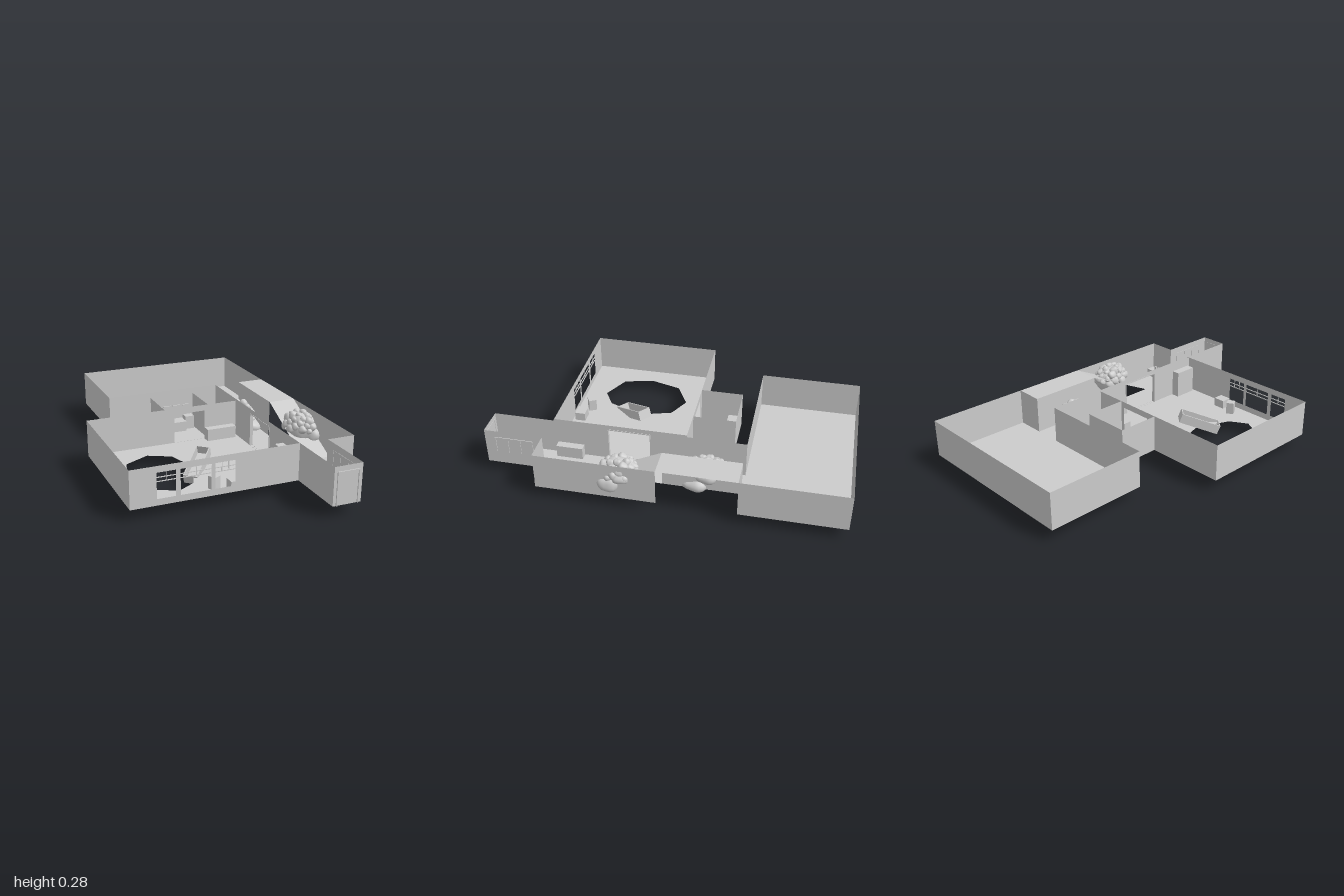
import * as THREE from 'three';

const LOW = 0.05, TOP = 0.26;
const mat = new THREE.MeshStandardMaterial({ color: 0xcccccc, side: THREE.DoubleSide });

export function createModel() {
  const model = new THREE.Group();

  const add = (name, geometry, x = 0, y = 0, z = 0, parent = model) => {
    const mesh = new THREE.Mesh(geometry, mat);
    mesh.name = name;
    mesh.position.set(x, y, z);
    parent.add(mesh);
    return mesh;
  };
  const rectPath = (Type, x0, y0, x1, y1) =>
    new Type([[x0, y0], [x1, y0], [x1, y1], [x0, y1]].map(p => new THREE.Vector2(...p)));

  // Thin wall between two plan points; openings are [start, bottom, end, top] along the wall
  const wall = (name, x0, z0, x1, z1, openings = []) => {
    const shape = rectPath(THREE.Shape, 0, LOW, Math.hypot(x1 - x0, z1 - z0), TOP);
    for (const o of openings) shape.holes.push(rectPath(THREE.Path, ...o));
    const mesh = add(name, new THREE.ShapeGeometry(shape), x0, 0, z0);
    mesh.rotation.y = -Math.atan2(z1 - z0, x1 - x0);
    return mesh;
  };
  // Horizontal slab, optionally with a polygonal hole
  const floor = (name, x0, z0, x1, z1, y = LOW, hole) => {
    const shape = rectPath(THREE.Shape, x0, z0, x1, z1);
    if (hole) shape.holes.push(new THREE.Path(hole.map(p => new THREE.Vector2(...p))));
    const geo = new THREE.ShapeGeometry(shape).rotateX(Math.PI / 2);
    return add(name, geo, 0, y, 0);
  };
  // Box given by its limits
  const box = (name, x0, x1, y0, y1, z0, z1, parent) => add(name,
    new THREE.BoxGeometry(x1 - x0, y1 - y0, z1 - z0),
    (x0 + x1) / 2, (y0 + y1) / 2, (z0 + z1) / 2, parent);

  // Back hall
  floor('hallFloor', -0.41, -1, 0.605, -0.43);
  wall('hallBackWall', -0.41, -1, 0.605, -1);
  wall('hallRightWall', -0.41, -1, -0.41, -0.43);
  wall('hallLeftWall', 0.605, -1, 0.605, -0.43);
  wall('hallFrontWall', -0.41, -0.43, 0.285, -0.43);
  wall('hallStairWall', 0.445, -0.43, 0.605, -0.43);

  // Main room with a broken floor
  floor('roomFloor', -0.64, -0.1, 0.285, 0.65, LOW, [
    [-0.335, 0.025], [-0.21, 0.09], [-0.155, 0.27], [-0.235, 0.47],
    [-0.335, 0.53], [-0.49, 0.45], [-0.53, 0.275], [-0.48, 0.1]]);
  wall('roomRightWall', -0.64, -0.1, -0.64, 0.65);
  wall('roomBackWall', -0.64, -0.1, 0.27, -0.1, [[0.52, 0.051, 0.71, 0.225]]);
  wall('roomLeftWall', 0.27, -0.1, 0.27, 0.65, [[0.2, 0.051, 0.44, 0.24]]);
  const windows = [[-0.5, -0.4, 1], [-0.375, -0.21, 1], [-0.19, -0.08, 2]];
  wall('windowWall', -0.64, 0.65, 0.285, 0.65,
    windows.map(([a, b]) => [a + 0.64, 0.085, b + 0.64, 0.225]));
  for (const [a, b, bars] of windows) {
    for (const y of [0.178, 0.2]) box('windowBar', a, b, y - 0.002, y + 0.002, 0.648, 0.652);
    for (let i = 1; i <= bars; i++) {
      const x = a + (b - a) * i / (bars + 1);
      box('windowMullion', x - 0.0015, x + 0.0015, 0.178, 0.225, 0.648, 0.652);
    }
  }
  box('floorUnderside', -0.1, 0.21, 0.04, 0.049, 0.06, 0.48);

  // Small alcove behind the main room
  floor('alcoveFloor', -0.18, -0.34, 0.09, -0.1);
  wall('alcoveBackWall', -0.18, -0.34, 0.09, -0.34);
  wall('alcoveRightWall', -0.18, -0.34, -0.18, -0.1);
  wall('alcoveLeftWall', 0.09, -0.34, 0.09, -0.1);
  box('alcoveCounter', -0.175, 0.02, LOW, 0.11, -0.338, -0.262);
  box('alcoveCabinet', 0.025, 0.08, LOW, 0.13, -0.338, -0.29);
  for (let i = 0; i < 4; i++)
    box('alcoveShelf', -0.16 + i * 0.06, -0.115 + i * 0.06, 0.19, 0.196, -0.338, -0.33);

  // Corridor
  floor('corridorFloor', 0.285, -0.43, 0.445, 0.99);
  wall('corridorRightWall', 0.285, -0.43, 0.285, 0.99, [[0.53, 0.051, 0.77, 0.24]]);
  wall('corridorStairWall', 0.445, -0.43, 0.445, 0);
  wall('corridorLeftWall', 0.445, 0.66, 0.445, 0.99);
  wall('corridorFrontWall', 0.285, 0.99, 0.445, 0.99);
  // Door lining between room and corridor
  for (const z of [0.1, 0.34]) box('doorJamb', 0.268, 0.287, LOW, 0.24, z - 0.003, z + 0.003);
  box('doorLintel', 0.268, 0.287, 0.24, 0.246, 0.1, 0.34);
  // Entrance door frame and side panel strips
  for (const x of [0.305, 0.425]) box('entranceJamb', x - 0.003, x + 0.003, LOW, 0.23, 0.988, 0.996);
  box('entranceLintel', 0.302, 0.428, 0.226, 0.232, 0.988, 0.996);
  for (const z of [0.72, 0.79, 0.86, 0.93]) box('wallStrip', 0.443, 0.449, 0.12, 0.22, z - 0.003, z + 0.003);
  box('wallRail', 0.443, 0.449, 0.216, 0.222, 0.72, 0.93);

  // Stairwell: landing, ramp and lobby
  floor('upperLanding', 0.445, -0.43, 0.605, 0, TOP);
  const ramp = add('stairRamp', new THREE.PlaneGeometry(0.16, Math.hypot(0.43, TOP - LOW)),
    0.525, (LOW + TOP) / 2, 0.215);
  ramp.rotation.x = -Math.atan2(0.43, TOP - LOW);
  floor('lobbyFloor', 0.445, 0.43, 0.605, 0.66);
  wall('stairOuterWall', 0.605, 0, 0.605, 0.66);
  wall('lobbyFrontWall', 0.445, 0.66, 0.605, 0.66);
  box('lobbyBench', 0.45, 0.602, LOW, 0.095, 0.6, 0.663);
  for (const x of [0.52, 0.55]) box('benchItem', x - 0.006, x + 0.006, 0.095, 0.12, 0.62, 0.632);

  // Furniture
  box('tallCabinet', 0.22, 0.268, 0.045, 0.21, 0.5, 0.635);
  box('corridorCabinet', 0.287, 0.33, LOW, 0.12, 0.48, 0.63);
  box('backCabinet', 0.07, 0.25, LOW, 0.12, -0.098, -0.05);
  box('corridorShelf', 0.287, 0.305, LOW, 0.13, 0.82, 0.89);
  box('sideTable', -0.095, -0.025, LOW, 0.1, 0.575, 0.635);
  const stool = add('stool', new THREE.BoxGeometry(0.045, 0.07, 0.045), -0.16, 0.085, 0.57);
  stool.rotation.y = 0.5;

  // Open bookcase tipping into the floor hole
  const bookcase = new THREE.Group();
  bookcase.name = 'fallenBookcase';
  bookcase.position.set(-0.145, 0.075, 0.305);
  bookcase.rotation.set(0, 0.86, 0.36);
  model.add(bookcase);
  box('bookcaseBack', -0.12, 0.12, -0.028, -0.022, -0.04, 0.04, bookcase);
  for (const s of [-1, 1]) {
    add('bookcaseSide', new THREE.BoxGeometry(0.24, 0.055, 0.006), 0, 0, s * 0.037, bookcase);
    add('bookcaseEnd', new THREE.BoxGeometry(0.006, 0.055, 0.08), s * 0.117, 0, 0, bookcase);
  }

  // Rubble heaps: lumpy boulders with small stones spread over a dome
  let seed = 7;
  const rnd = () => (seed = (seed * 16807) % 2147483647) / 2147483647;
  const boulder = (x, y, z, rx, ry, rz, parent) => {
    const geo = new THREE.SphereGeometry(1, 20, 14);
    const p = geo.attributes.position, v = new THREE.Vector3(), k = rnd() * 6;
    for (let i = 0; i < p.count; i++) {
      v.fromBufferAttribute(p, i);
      v.multiplyScalar(1 + 0.09 * Math.sin(3 * v.x + k) * Math.cos(3 * v.y - k) + 0.06 * Math.sin(5 * v.z + k));
      p.setXYZ(i, v.x * rx, v.y * ry, v.z * rz);
    }
    geo.computeVertexNormals();
    add('boulder', geo, x, y, z, parent);
  };
  const heap = (name, x, y, z, rx, ry, rz, extra) => {
    const g = new THREE.Group();
    g.name = name;
    model.add(g);
    boulder(x, y, z, rx * 0.85, ry * 0.85, rz * 0.85, g);
    for (let i = 0; i < 34; i++) {
      const h = 0.95 - i / 34, a = i * 2.4, r = Math.sqrt(1 - h * h) * 0.83;
      const s = 0.016 + 0.011 * rnd();
      boulder(x + rx * r * Math.cos(a), y + ry * h * 0.85, z + rz * r * Math.sin(a), s, s, s * 1.1, g);
    }
    for (const e of extra) boulder(...e, g);
  };
  heap('corridorRubble', 0.365, 0.09, -0.23, 0.075, 0.12, 0.13, [
    [0.4, 0.06, -0.18, 0.07, 0.05, 0.075], [0.42, 0.12, -0.24, 0.045, 0.045, 0.06],
    [0.33, 0.045, -0.27, 0.04, 0.025, 0.05]]);
  heap('stairRubble', 0.53, 0.165, 0.21, 0.085, 0.1, 0.115, [
    [0.585, 0.125, 0.255, 0.045, 0.05, 0.06], [0.58, 0.18, 0.19, 0.045, 0.04, 0.05]]);

  return model;
}
